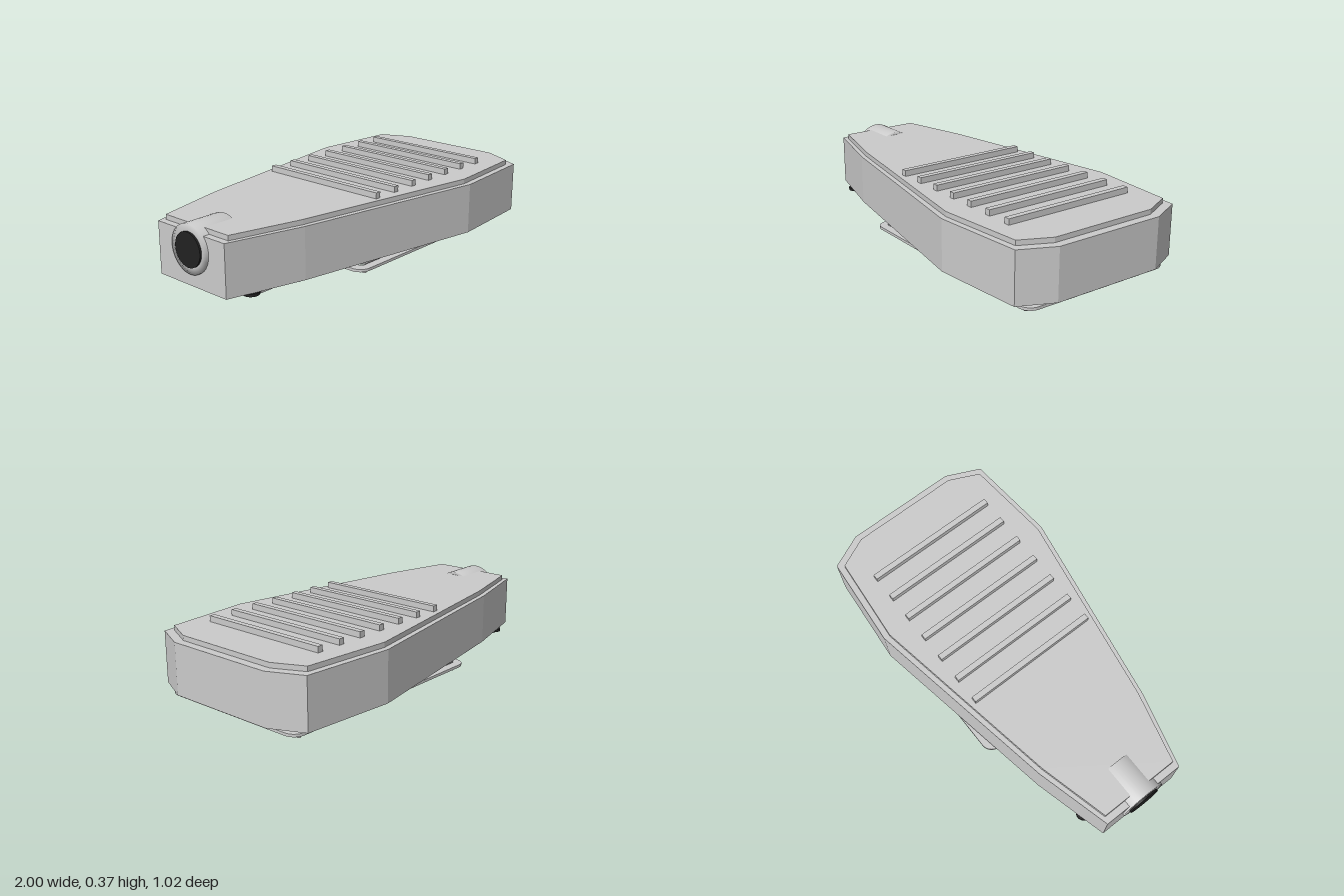
import * as THREE from 'three';

const grey = new THREE.MeshStandardMaterial({ color: 0xcccccc, flatShading: true });
const smooth = new THREE.MeshStandardMaterial({ color: 0xcccccc });
const dark = new THREE.MeshStandardMaterial({ color: 0x222222 });

// Half outline (x, z), mirrored across z = 0 into a closed list of points
function mirrored(half) {
  const pts = half.map(([x, z]) => new THREE.Vector2(x, -z));
  for (const [x, z] of [...half].reverse()) pts.push(new THREE.Vector2(x, z));
  return pts;
}

function roundedRect(x0, x1, halfZ, r, Type = THREE.Shape) {
  const s = new Type();
  s.absarc(x1 - r, halfZ - r, r, 0, Math.PI / 2);
  s.absarc(x0 + r, halfZ - r, r, Math.PI / 2, Math.PI);
  s.absarc(x0 + r, -halfZ + r, r, Math.PI, Math.PI * 1.5);
  s.absarc(x1 - r, -halfZ + r, r, Math.PI * 1.5, Math.PI * 2);
  s.closePath();
  return s;
}

export function createModel() {
  const model = new THREE.Group();

  const add = (name, geometry, material, x = 0, y = 0, z = 0) => {
    const mesh = new THREE.Mesh(geometry, material);
    mesh.name = name;
    mesh.position.set(x, y, z);
    model.add(mesh);
    return mesh;
  };
  // Horizontal slab from a plan shape, between two heights
  const slab = (name, shape, y0, y1) => {
    const g = new THREE.ExtrudeGeometry(shape, { depth: y1 - y0, bevelEnabled: false, curveSegments: 8 });
    return add(name, g.rotateX(-Math.PI / 2), grey, 0, y0);
  };

  // Hollow body, open underneath
  const body = new THREE.Shape(mirrored([[-0.98, 0.225], [-0.59, 0.328], [0.44, 0.51], [0.92, 0.47], [1, 0.295]]));
  body.holes.push(new THREE.Path(mirrored([[-0.89, 0.205], [-0.57, 0.265], [0.43, 0.44], [0.86, 0.4], [0.93, 0.27]])));
  slab('bodyShell', body, 0.055, 0.315);

  // Raised top cover, closing the shell
  slab('topCover', new THREE.Shape(mirrored(
    [[-0.945, 0.212], [-0.58, 0.305], [0.43, 0.48], [0.885, 0.44], [0.957, 0.285]])), 0.312, 0.34);

  // Grip ribs across the top
  for (let i = 0; i < 7; i++) {
    add('gripRib', new THREE.BoxGeometry(0.03, 0.035, 0.715), grey, -0.113 + 0.1388 * i, 0.3525, 0);
  }

  // Cable socket at the narrow end
  const profile = [[0.085, -0.105], [0.12, -0.105], [0.12, 0.105], [0.085, 0.105], [0.085, -0.105]];
  const flat = new THREE.LatheGeometry(profile.map(([r, y]) => new THREE.Vector2(r, y)), 40);
  flat.rotateZ(-Math.PI / 2);
  add('socketTube', flat, smooth, -0.885, 0.235, 0);
  const bore = new THREE.CylinderGeometry(0.085, 0.085, 0.22, 40).rotateZ(Math.PI / 2);
  add('socketBore', bore, dark, -0.89, 0.235, 0);

  // Base frame with a recessed panel
  const frame = roundedRect(-0.305, 0.95, 0.42, 0.06);
  frame.holes.push(roundedRect(-0.25, 0.895, 0.375, 0.02, THREE.Path));
  slab('baseFrame', frame, 0.022, 0.036);
  slab('basePanel', roundedRect(-0.252, 0.892, 0.385, 0.02), 0.042, 0.046);

  // Lid under the narrow end
  slab('narrowLid', roundedRect(-0.87, -0.29, 0.255, 0.02), 0.037, 0.045);

  for (const side of [-1, 1]) {
    // Pads beside the lid end
    add('lidPad', new THREE.CylinderGeometry(0.04, 0.04, 0.014, 24), dark, -0.84, 0.048, side * 0.233);
    // Lid side tabs
    add('lidTab', new THREE.BoxGeometry(0.12, 0.012, 0.05), grey, -0.55, 0.049, side * 0.275);
    // Small feet under the base corners
    for (const x of [-0.235, 0.885]) {
      add('foot', new THREE.CylinderGeometry(0.011, 0.011, 0.007, 12), grey, x, 0.0035, side * 0.378);
    }
  }
  return model;
}
